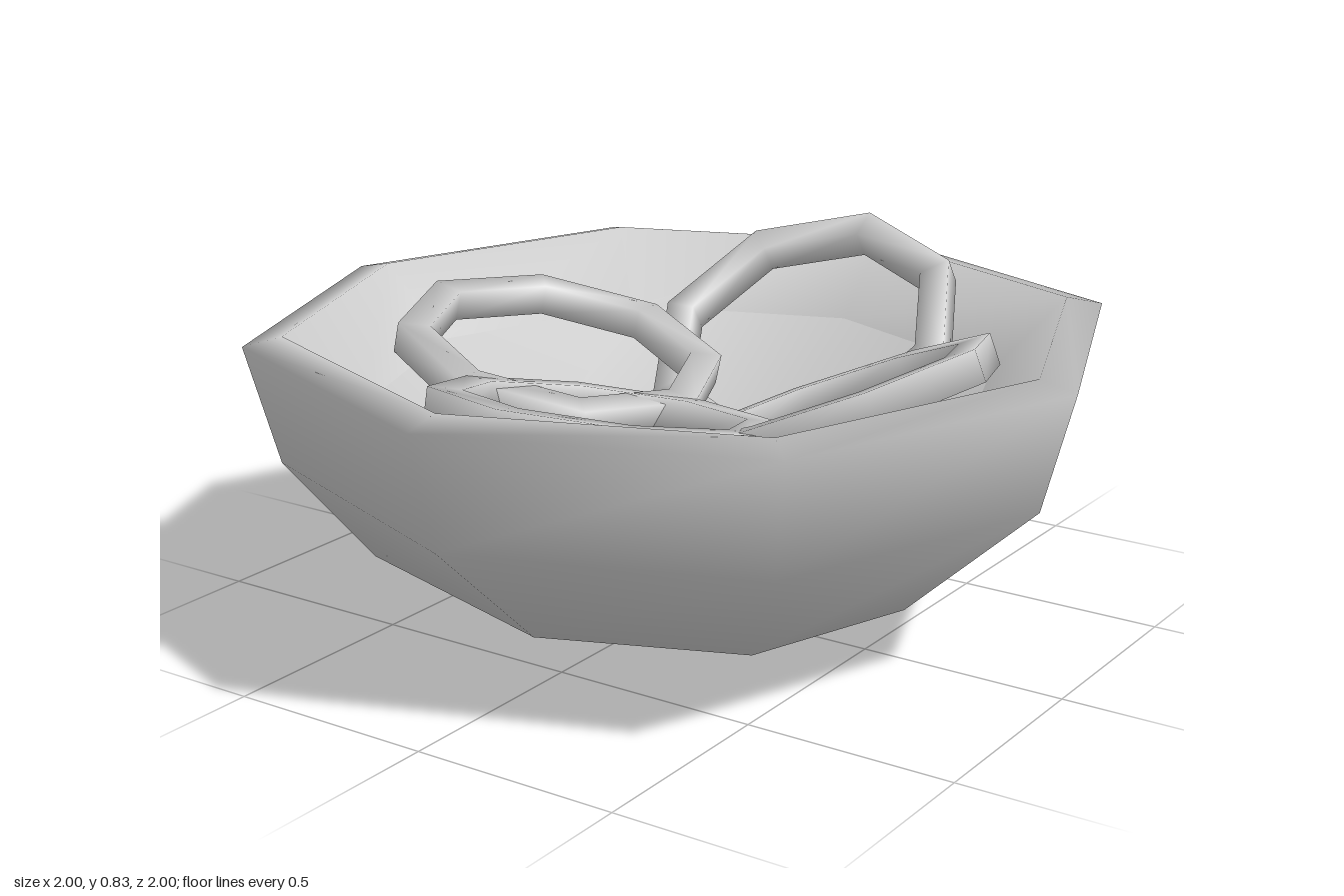
import * as THREE from 'three';
import { mergeVertices } from 'three/addons/utils/BufferGeometryUtils.js';

const SIDES = 8;
const material = new THREE.MeshStandardMaterial({ color: 0xcccccc, side: THREE.DoubleSide });

// Smooth eight-sided shell. Each level is [radius, y] for the points on the axes
// and optionally [.., diagonal radius, diagonal y] for those in between.
function shell(name, levels) {
  const positions = [];
  const index = [];
  levels.forEach(([r, y, dr = r, dy = y]) => {
    for (let j = 0; j < SIDES; j++) {
      const t = (j / SIDES) * Math.PI * 2;
      const radius = j % 2 ? dr : r;
      positions.push(Math.sin(t) * radius, j % 2 ? dy : y, Math.cos(t) * radius);
    }
  });
  for (let i = 0; i < levels.length - 1; i++) {
    for (let j = 0; j < SIDES; j++) {
      const a = i * SIDES + j;
      const b = i * SIDES + ((j + 1) % SIDES);
      index.push(a, b, b + SIDES, a, b + SIDES, a + SIDES);
    }
  }
  let geometry = new THREE.BufferGeometry();
  geometry.setAttribute('position', new THREE.Float32BufferAttribute(positions, 3));
  geometry.setIndex(index);
  geometry = mergeVertices(geometry, 1e-4);
  geometry.computeVertexNormals();
  const mesh = new THREE.Mesh(geometry, material);
  mesh.name = name;
  return mesh;
}

// Flat-topped ring, tilted so that its outer side is raised
function ring(name, x, z, tiltX, tiltZ) {
  const outer = 0.4, inner = 0.322, h = 0.038;
  const mesh = shell(name, [
    [outer, -h], [outer, h], [inner, h], [inner, -h], [outer, -h],
  ]);
  mesh.position.set(x, 0.57, z);
  mesh.rotation.set(THREE.MathUtils.degToRad(tiltX), 0, THREE.MathUtils.degToRad(tiltZ));
  return mesh;
}

export function createModel() {
  const model = new THREE.Group();
  model.name = 'bowlWithRings';

  // Bowl wall: underside, side, rim and inner slope
  model.add(shell('bowlWall', [
    [0, 0],
    [0.6, 0.12, 0.74, 0.175],
    [0.925, 0.42, 0.945, 0.42],
    [1, 0.7, 1.02, 0.7],
    [0.91, 0.72, 0.93, 0.72],
    [0.73, 0.55, 0.75, 0.55],
  ]));

  // Sunken floor inside the bowl
  model.add(shell('bowlFloor', [
    [0.73, 0.55, 0.75, 0.55],
    [0.42, 0.34],
    [0, 0.25],
  ]));

  // Four loose rings leaning towards the middle
  model.add(
    ring('backRing', 0.04, -0.47, 34, 0),
    ring('frontRing', 0.04, 0.38, -13, 0),
    ring('rightRing', -0.37, 0, 0, -13),
    ring('leftRing', 0.4, 0, 0, 23),
  );

  return model;
}
